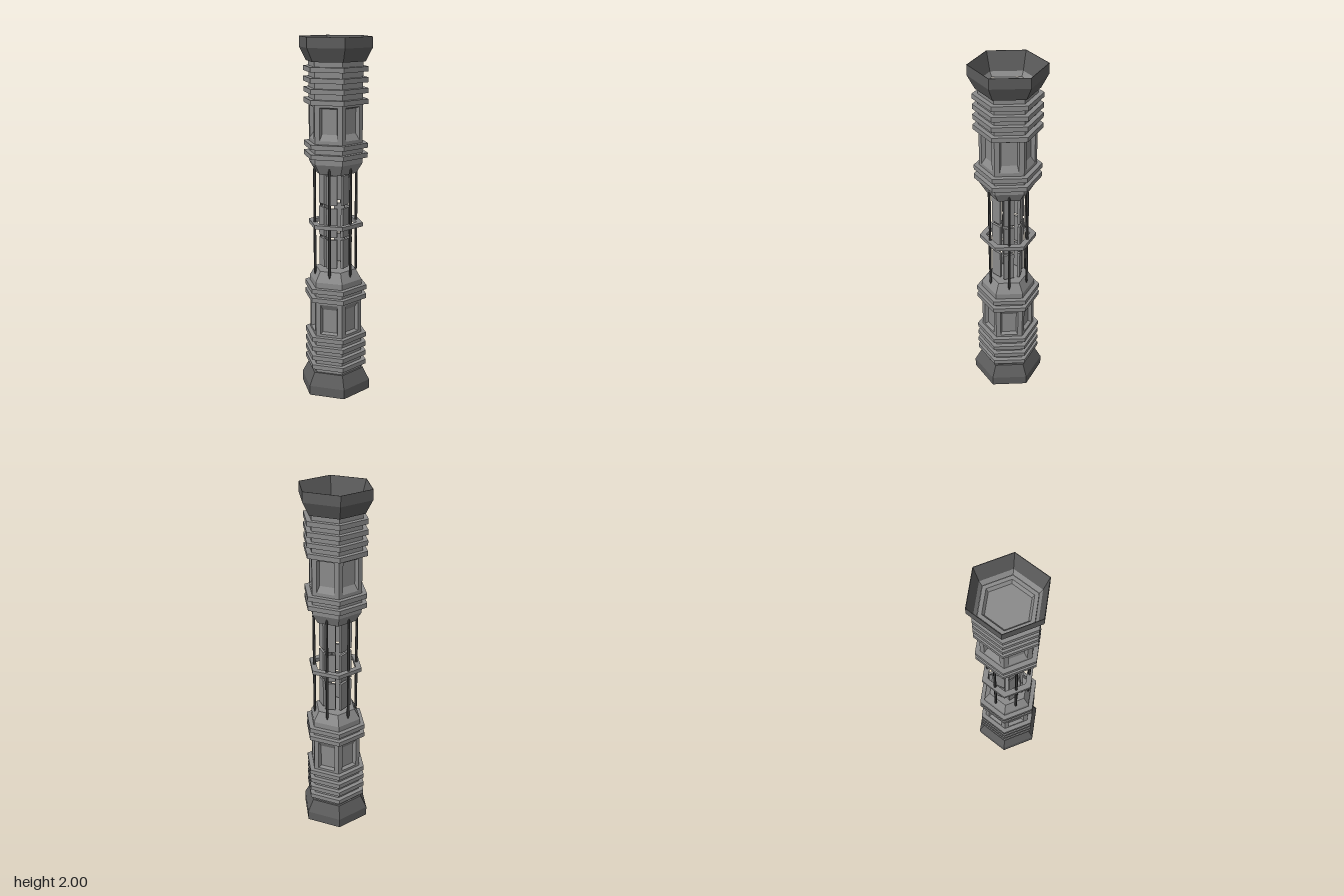
import * as THREE from 'three';

const bodyMat = new THREE.MeshStandardMaterial({ color: 0x8a8a8a });
const capMat = new THREE.MeshStandardMaterial({ color: 0x5c5c5c });
const rodMat = new THREE.MeshStandardMaterial({ color: 0x444444 });
bodyMat.name = 'mid grey metal';
capMat.name = 'dark grey metal';
rodMat.name = 'charcoal rod';

const R = 0.152;                          // corner radius of the hexagonal body
const APOTHEM = R * Math.cos(Math.PI / 6);

function addMesh(parent, geometry, material, name) {
  const mesh = new THREE.Mesh(geometry, material);
  mesh.name = name;
  parent.add(mesh);
  return mesh;
}

// Faceted six-sided solid from a [radius, y] profile, corners on +z and -z
function hexLathe(profile) {
  const g = new THREE.LatheGeometry(profile.map(p => new THREE.Vector2(...p)), 6).toNonIndexed();
  g.computeVertexNormals();
  return g;
}

// One body face with a sunken panel, made from nested rectangles
function recessedFace(y0, y1) {
  const rect = (w, a, b, z) => [[-w, a, z], [w, a, z], [w, b, z], [-w, b, z]];
  const loops = [
    rect(R / 2, y0, y1, APOTHEM),
    rect(0.05, 1.462, 1.638, APOTHEM),
    rect(0.042, 1.495, 1.63, APOTHEM - 0.02),
  ];
  const pos = [];
  const quad = (a, b, c, d) => pos.push(...a, ...b, ...c, ...a, ...c, ...d);
  for (let l = 0; l < 2; l++) {
    for (let i = 0; i < 4; i++) {
      const j = (i + 1) % 4;
      quad(loops[l][i], loops[l][j], loops[l + 1][j], loops[l + 1][i]);
    }
  }
  quad(...loops[2]);
  const g = new THREE.BufferGeometry();
  g.setAttribute('position', new THREE.Float32BufferAttribute(pos, 3));
  g.computeVertexNormals();
  return g;
}

function buildEnd(name) {
  const end = new THREE.Group();
  end.name = name;

  // Flared end cap with an inner funnel
  addMesh(end, hexLathe([
    [0.15, 1.873], [0.165, 1.873], [0.203, 1.945], [0.203, 2], [0.2, 2], [0.17, 1.9],
  ]), capMat, 'endCap');
  addMesh(end, hexLathe([[0.153, 1.874], [0.17, 1.9]].reverse()), bodyMat, 'funnelCollar');

  // Body above and below the panel band
  addMesh(end, hexLathe([
    [R, 1.65], [R, 1.874], [0.13, 1.874], [0.117, 1.855], [0, 1.855],
  ]), bodyMat, 'outerBody');
  addMesh(end, hexLathe([
    [0, 1.275], [0.117, 1.275], [R, 1.332], [R, 1.45],
  ]), bodyMat, 'innerBody');

  // Six recessed panels
  const face = recessedFace(1.45, 1.65);
  for (let i = 0; i < 6; i++) {
    addMesh(end, face, bodyMat, 'recessedPanel').rotation.y = (i + 0.5) * Math.PI / 3;
  }

  // Cooling ridges
  for (const y of [1.834, 1.778, 1.722, 1.665, 1.43, 1.377]) {
    addMesh(end, hexLathe([
      [0.145, y - 0.013], [0.181, y - 0.013], [0.181, y + 0.013], [0.145, y + 0.013],
    ]), bodyMat, 'ridge');
  }
  return end;
}

export function createModel() {
  const model = new THREE.Group();
  model.name = 'hexagonalCanister';

  // Matching ends, the lower one turned over
  model.add(buildEnd('upperEnd'));
  const lower = buildEnd('lowerEnd');
  lower.rotation.x = Math.PI;
  lower.position.y = 2;
  model.add(lower);

  // Middle ring
  addMesh(model, hexLathe([
    [0.122, 0.976], [0.157, 0.976], [0.157, 0.998], [0.122, 0.998], [0.122, 0.976],
  ]), bodyMat, 'middleRing');

  // Rods with pointed ends and the inner plates behind them
  const rod = hexLathe([[0, 0.685], [0.0075, 0.71], [0.0075, 1.295], [0, 1.32]]);
  const plate = new THREE.BoxGeometry(0.06, 0.165, 0.014);
  for (let i = 0; i < 6; i++) {
    const spoke = new THREE.Group();
    spoke.name = 'cageSide';
    spoke.rotation.y = (i + 0.5) * Math.PI / 3;
    addMesh(spoke, rod, rodMat, 'rod').position.z = 0.118;
    for (const y of [1.183, 1.0, 0.822]) {
      const p = addMesh(spoke, plate, bodyMat, 'innerPlate');
      p.position.set(0, y, 0.073);
      p.rotation.y = 0.25;
    }
    model.add(spoke);
  }
  return model;
}
